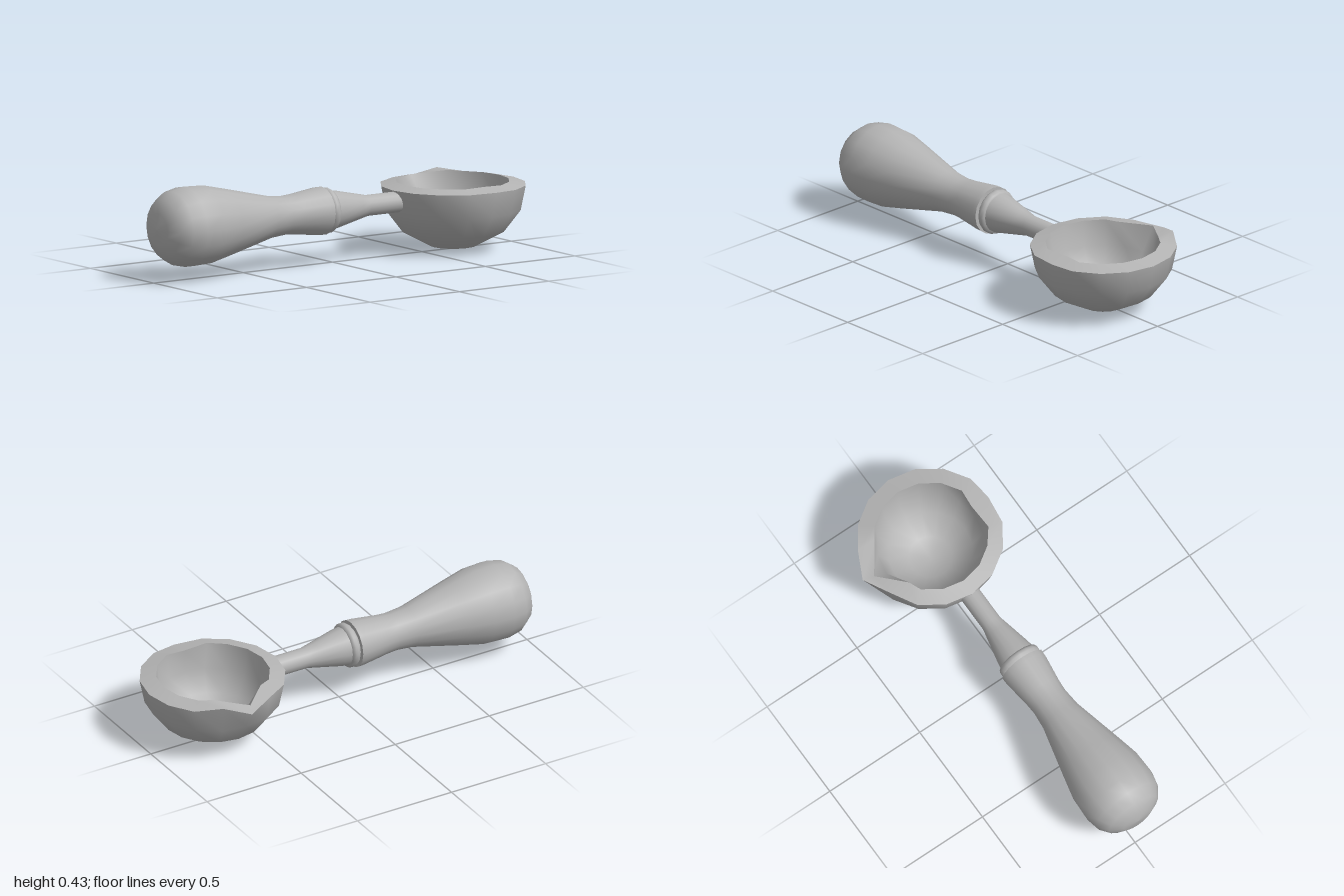
import * as THREE from 'three';
import { mergeVertices } from 'three/addons/utils/BufferGeometryUtils.js';

const SIDES = 16;
const CX = 0.02;

// Closed-ring surface through the rings, smooth inside one strip
function loft(rings) {
  const pos = [], index = [];
  rings.forEach(ring => ring.forEach(p => pos.push(...p)));
  for (let i = 0; i < rings.length - 1; i++) {
    for (let j = 0; j < SIDES; j++) {
      const a = i * SIDES + j, b = i * SIDES + (j + 1) % SIDES;
      const c = a + SIDES, d = b + SIDES;
      index.push(a, b, c, b, d, c);
    }
  }
  let g = new THREE.BufferGeometry();
  g.setAttribute('position', new THREE.Float32BufferAttribute(pos, 3));
  g.setIndex(index);
  g = mergeVertices(g, 1e-5);
  g.computeVertexNormals();
  return g;
}

// Horizontal ring of the bowl; changes replaces single points around the spout
function ring(r, y, zc, changes = {}) {
  return Array.from({ length: SIDES }, (_, j) => {
    const a = j / SIDES * Math.PI * 2;
    return changes[j] || [CX + r * Math.cos(a), y, zc + r * Math.sin(a)];
  });
}

export function createModel() {
  const group = new THREE.Group();
  const metal = new THREE.MeshStandardMaterial({ color: 0xb4b4b4 });
  metal.name = 'grey';

  const add = (name, geometry) => {
    const mesh = new THREE.Mesh(geometry, metal);
    mesh.name = name;
    group.add(mesh);
  };

  // Turned part along z, profile given as [radius, z] with z rising
  const turned = (name, profile) => {
    const g = new THREE.LatheGeometry(profile.map(p => new THREE.Vector2(...p)), SIDES);
    g.rotateX(Math.PI / 2);
    g.translate(CX, 0.25, 0);
    add(name, g);
  };

  // Handle
  turned('grip', [
    [0.112, 0.075], [0.111, 0.1], [0.094, 0.23], [0.09, 0.29], [0.098, 0.38],
    [0.155, 0.62], [0.182, 0.74], [0.186, 0.84], [0.171, 0.91], [0.135, 0.96],
    [0.075, 0.99], [0, 0.998]
  ]);
  turned('gripEnd', [[0.09, 0.075], [0.112, 0.075]]);
  turned('collar', [
    [0.085, 0.03], [0.099, 0.034], [0.105, 0.045], [0.106, 0.057], [0.1, 0.068], [0.09, 0.075]
  ]);
  turned('neck', [[0.049, -0.365], [0.049, -0.17], [0.06, -0.12], [0.086, 0], [0.092, 0.035]]);

  // Bowl rims, with the pouring spout on the right-hand side
  const innerRim = ring(0.262, 0.32, -0.657, {
    0: [0.255, 0.32, -0.67],
    1: [0.262, 0.32, -0.545],
    7: [-0.19, 0.32, -0.53],
    8: [-0.3, 0.305, -0.65],
    9: [-0.2, 0.325, -0.79]
  });
  const outerRim = ring(0.336, 0.304, -0.66, {
    0: [0.347, 0.305, -0.67],
    7: [-0.285, 0.304, -0.54],
    8: [-0.35, 0.288, -0.67],
    9: [-0.293, 0.325, -0.79]
  });

  // Bowl surfaces
  add('bowlInside', loft([
    ring(0, 0.022, -0.66), ring(0.1, 0.036, -0.66), ring(0.195, 0.1, -0.66),
    ring(0.245, 0.2, -0.66), innerRim
  ]));
  add('bowlRim', loft([innerRim, outerRim]));
  add('bowlOutside', loft([
    outerRim,
    ring(0.313, 0.19, -0.66, { 8: [-0.285, 0.19, -0.66] }),
    ring(0.235, 0.088, -0.66),
    ring(0.108, 0.02, -0.66),
    ring(0, 0.002, -0.66)
  ]));

  return group;
}
